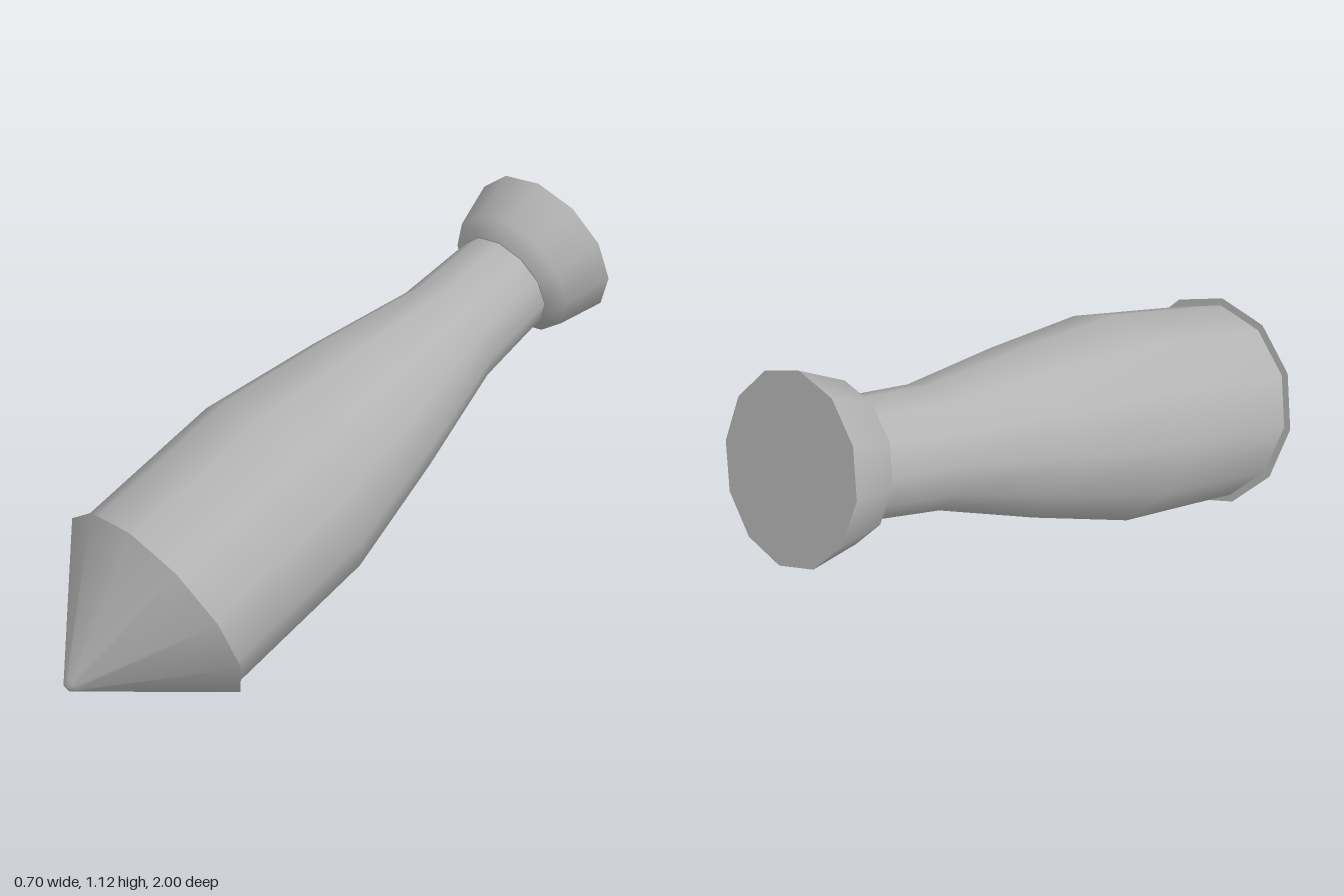
import * as THREE from 'three';

const SIDES = 12;

// Turn a [radius, distance along axis] profile into a smooth 12-sided shell
function turned(name, profile, material) {
  const points = profile.map(([r, s]) => new THREE.Vector2(r, s));
  const geometry = new THREE.LatheGeometry(points, SIDES, THREE.MathUtils.degToRad(-8.7));
  const mesh = new THREE.Mesh(geometry, material);
  mesh.name = name;
  return mesh;
}

export function createModel() {
  const grey = new THREE.MeshStandardMaterial({ color: 0xb4b4b4 });
  grey.name = 'plain grey';

  const shell = new THREE.Group();
  shell.name = 'tiltedShell';
  shell.add(
    // Flared tail with a flat end and a closed narrow end
    turned('tailEnd', [[0, 0], [0.257, 0]], grey),
    turned('tailFlare', [[0.257, 0], [0.217, 0.154], [0.168, 0.197]], grey),
    turned('tailFront', [[0.168, 0.197], [0, 0.197]], grey),
    // Long bulging body
    turned('body', [[0.164, 0.19], [0.175, 0.463], [0.248, 0.809], [0.315, 1.19], [0.31, 1.704]], grey),
    // Pointed nose with a narrow lip overhanging the body
    turned('noseLip', [[0, 1.702], [0.333, 1.702]], grey),
    turned('nose', [[0.333, 1.702], [0.025, 2.025]], grey),
    turned('noseTip', [[0.025, 2.025], [0.014, 2.037], [0, 2.04]], grey)
  );

  // Aim the axis from the raised tail down to the nose
  const axis = new THREE.Vector3(0.12, -0.575, 1.6).normalize();
  const up = new THREE.Vector3(0, 1, 0).addScaledVector(axis, -axis.y).normalize();
  const side = new THREE.Vector3().crossVectors(axis, up);
  shell.quaternion.setFromRotationMatrix(new THREE.Matrix4().makeBasis(side, axis, up));
  shell.position.set(-0.1, 0.89, -0.915);

  const model = new THREE.Group();
  model.name = 'model';
  model.add(shell);
  return model;
}
